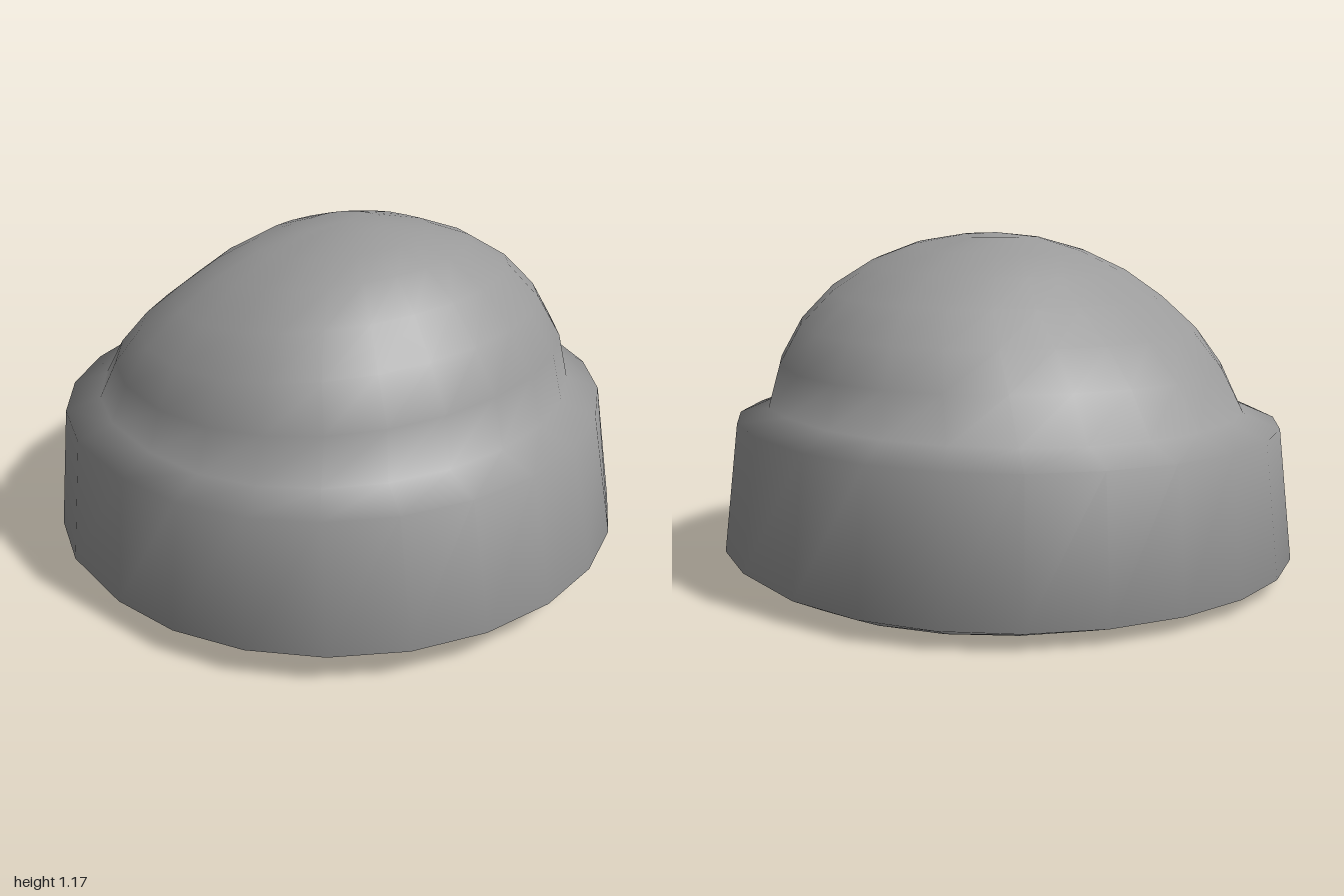
import * as THREE from 'three';

const SIDES = 24;
const MID_Z = 0.02; // depth at which every ring is widest

// Tilted oval rings from the bottom rim to the crown top:
// [half width, side y, front z, front y, back z, back y, front fullness, back fullness]
const RINGS = [
  [0.86, 0.015, 0.89, 0.03, -0.86, 0.0, 1, 0.85],
  [0.985, 0.085, 1.0, 0.12, -1.0, 0.05, 1, 0.85],
  [0.935, 0.528, 0.9, 0.55, -0.955, 0.505, 0.97, 0.85],
  [0.825, 0.58, 0.77, 0.59, -0.83, 0.555, 0.92, 0.88],
  [0.78, 0.714, 0.73, 0.76, -0.73, 0.7, 0.88, 0.88],
  [0.71, 0.842, 0.64, 0.9, -0.605, 0.82, 0.87, 0.88],
  [0.6, 0.953, 0.535, 1.02, -0.46, 0.935, 0.87, 0.88],
  [0.46, 1.048, 0.415, 1.1, -0.35, 1.03, 0.88, 0.9],
  [0.31, 1.113, 0.3, 1.148, -0.24, 1.1, 0.92, 0.95],
  [0.14, 1.155, 0.17, 1.167, -0.09, 1.155, 1, 1],
];
const CUFF_TOP = 3;

// Hollow underside, from the rim inwards
const HOLLOW = [
  RINGS[0],
  [0.52, 0.215, 0.55, 0.225, -0.51, 0.205, 1, 0.9],
  [0.24, 0.285, 0.26, 0.29, -0.22, 0.28, 1, 1],
];

function ringPoints([halfWidth, sideY, frontZ, frontY, backZ, backY, frontFull, backFull]) {
  const points = [];
  for (let i = 0; i < SIDES; i++) {
    const a = (i / SIDES) * Math.PI * 2;
    const c = Math.cos(a);
    const [endZ, endY, full] = c > 0 ? [frontZ, frontY, frontFull] : [backZ, backY, backFull];
    // Fullness below 1 squares the oval off towards its diagonals
    const t = Math.pow(Math.abs(c), full);
    points.push([
      halfWidth * Math.sin(a),
      THREE.MathUtils.lerp(sideY, endY, t),
      THREE.MathUtils.lerp(MID_Z, endZ, t),
    ]);
  }
  return points;
}

// Quads joining ring r to ring r + 1, for a range of rings
function bandIndex(from, to) {
  const index = [];
  for (let r = from; r < to; r++) {
    for (let i = 0; i < SIDES; i++) {
      const j = (i + 1) % SIDES;
      const a = r * SIDES + i, b = r * SIDES + j;
      const c = a + SIDES, d = b + SIDES;
      index.push(a, b, d, a, d, c);
    }
  }
  return index;
}

// Fan closing ring r with the point that follows it
function fanIndex(r) {
  const index = [];
  for (let i = 0; i < SIDES; i++) {
    index.push(r * SIDES + i, r * SIDES + ((i + 1) % SIDES), (r + 1) * SIDES);
  }
  return index;
}

function buildGeometry(points, index) {
  const geometry = new THREE.BufferGeometry();
  geometry.setAttribute('position', new THREE.Float32BufferAttribute(points.flat(), 3));
  geometry.setIndex(index);
  geometry.computeVertexNormals();
  return geometry;
}

export function createModel() {
  const group = new THREE.Group();
  group.name = 'knitCap';
  const material = new THREE.MeshStandardMaterial({ color: 0x9a9a9a });
  const add = (name, geometry) => {
    const mesh = new THREE.Mesh(geometry, material);
    mesh.name = name;
    group.add(mesh);
  };

  // Cuff and crown share vertices and normals, so shading flows across the seam
  const points = [...RINGS.flatMap(ringPoints), [0, 1.17, 0.05]];
  const last = RINGS.length - 1;
  const cuffIndex = bandIndex(0, CUFF_TOP);
  const crownIndex = [...bandIndex(CUFF_TOP, last), ...fanIndex(last)];
  const shell = buildGeometry(points, [...cuffIndex, ...crownIndex]);
  add('cuff', shell.clone().setIndex(cuffIndex));
  add('crown', shell.clone().setIndex(crownIndex));

  // Shallow hollow underneath, wound the other way so that it faces down
  const hollowPoints = [...HOLLOW.flatMap(ringPoints), [0, 0.3, MID_Z]];
  const hollowTop = HOLLOW.length - 1;
  const hollowIndex = [...bandIndex(0, hollowTop), ...fanIndex(hollowTop)].reverse();
  add('hollow', buildGeometry(hollowPoints, hollowIndex));

  return group;
}
